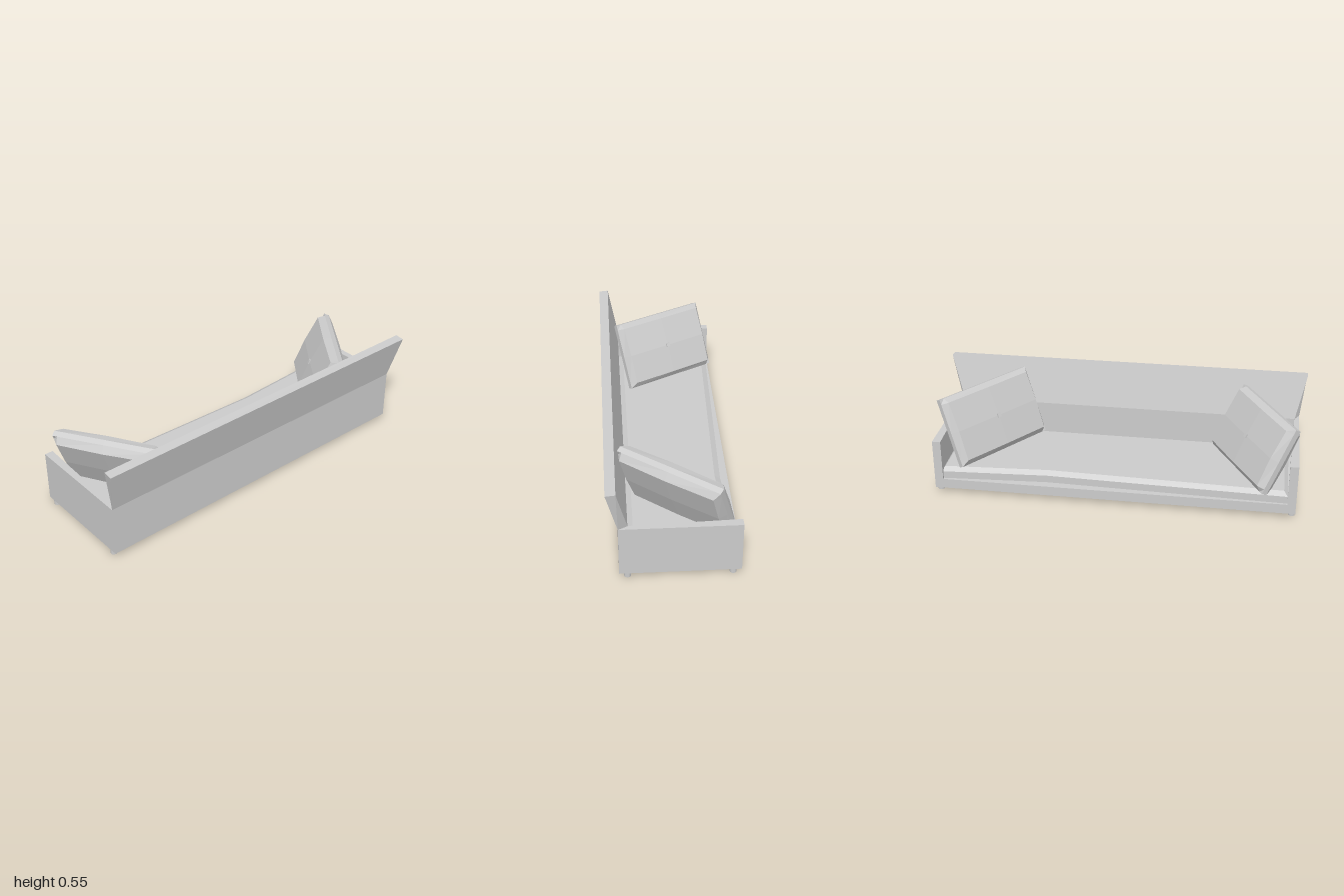
import * as THREE from 'three';

const mat = new THREE.MeshStandardMaterial({ color: 0xcccccc, flatShading: true });

function add(parent, geo, name) {
  const m = new THREE.Mesh(geo, mat);
  m.name = name;
  parent.add(m);
  return m;
}

// Moves every vertex by a rule
function reshape(geo, rule) {
  const p = geo.attributes.position;
  const v = new THREE.Vector3();
  for (let i = 0; i < p.count; i++) {
    rule(v.fromBufferAttribute(p, i));
    p.setXYZ(i, v.x, v.y, v.z);
  }
  geo.computeVertexNormals();
  return geo;
}

// Bulging cushion with ridged edges and a button in the middle of its front face
function pillow(parent, name, length, position, facing, lean, roll) {
  const g = new THREE.Group();
  g.name = name;
  const H = 0.38, bulge = 0.06, bevel = 0.027;
  const geo = reshape(new THREE.BoxGeometry(2, 2, 2, 4, 4, 2), (v) => {
    const ax = Math.abs(v.x), ay = Math.abs(v.y);
    const remap = (a, half) => (a > 0.9 ? half : a > 0.1 ? half - bevel : 0);
    v.x = Math.sign(v.x) * remap(ax, length / 2);
    v.y = Math.sign(v.y) * remap(ay, H / 2);
    if (ax > 0.9 || ay > 0.9) v.z *= 0.015;
    else v.z *= bulge - (ay > 0.1 ? 0.007 : 0) - (ax > 0.1 ? 0.005 : 0);
  });
  add(g, geo, name + 'Body');
  const button = add(g, new THREE.BoxGeometry(0.022, 0.022, 0.014), name + 'Button');
  button.position.z = bulge;
  g.rotation.order = 'YXZ';
  g.rotation.set(-lean, Math.atan2(facing[0], facing[1]), roll);
  g.position.set(...position);
  parent.add(g);
}

export function createModel() {
  const root = new THREE.Group();
  root.name = 'sofa';
  const L = -0.97, R = 0.955, F = -0.324, B = 0.274;
  const bottom = 0.027, lip = 0.08, top = 0.303, backFront = 0.228;
  const innerL = L + 0.025, innerR = R - 0.025;

  // Base slab
  const base = add(root, new THREE.BoxGeometry(R - L, lip - bottom, B - F), 'base');
  base.position.set((L + R) / 2, (lip + bottom) / 2, (F + B) / 2);

  // Arms, a little thinner towards the back
  for (const [name, outer, side] of [['rightArm', L, 1], ['leftArm', R, -1]]) {
    add(root, reshape(new THREE.BoxGeometry(2, 2, 2), (v) => {
      const inner = v.x * side > 0;
      v.x = outer + (inner ? side * (v.z < 0 ? 0.045 : 0.025) : 0);
      v.y = v.y > 0 ? top : lip;
      v.z = v.z > 0 ? B : F;
    }), name);
  }

  // Lower back between the arms
  const back = add(root, new THREE.BoxGeometry(innerR - innerL, top - lip, B - backFront), 'lowerBack');
  back.position.set((innerL + innerR) / 2, (top + lip) / 2, (B + backFront) / 2);

  // Upper back, flaring outwards and leaning away from the seat
  add(root, reshape(new THREE.BoxGeometry(2, 2, 2), (v) => {
    const outer = v.z > 0, left = v.x > 0;
    if (v.y > 0) v.set(Math.sign(v.x), outer ? 0.54 : 0.545, outer ? 0.33 : 0.28);
    else if (outer) v.set(left ? R : L, top, B);
    else v.set(left ? innerR : innerL, top, backFront);
  }), 'backrest');

  // Seat cushion: bevelled top, front edge drawn in slightly off centre
  add(root, reshape(new THREE.BoxGeometry(2, 2, 2, 2, 2, 1), (v) => {
    const upper = v.y > 0.5, inset = upper ? 0.03 : 0;
    const mid = Math.abs(v.x) < 0.1;
    v.x = mid ? 0.35 : Math.sign(v.x) * (upper ? 0.905 : 0.925);
    v.z = v.z > 0 ? backFront - inset : -0.312 + inset + (mid ? 0.035 : 0);
    v.y = upper ? 0.138 : v.y < -0.5 ? lip : 0.12;
  }), 'seatCushion');

  // Leaning pillows in both corners
  pillow(root, 'leftPillow', 0.59, [0.698, 0.327, -0.023], [-0.796, -0.606], 0.42, 0.02);
  pillow(root, 'rightPillow', 0.565, [-0.735, 0.307, -0.04], [0.857, -0.518], 0.46, -0.03);

  // Short round feet
  for (const x of [L + 0.018, R - 0.018]) {
    for (const z of [-0.283, 0.233]) {
      const foot = add(root, new THREE.CylinderGeometry(0.017, 0.017, 0.028, 16), 'foot');
      foot.position.set(x, 0.014, z);
    }
  }
  return root;
}
